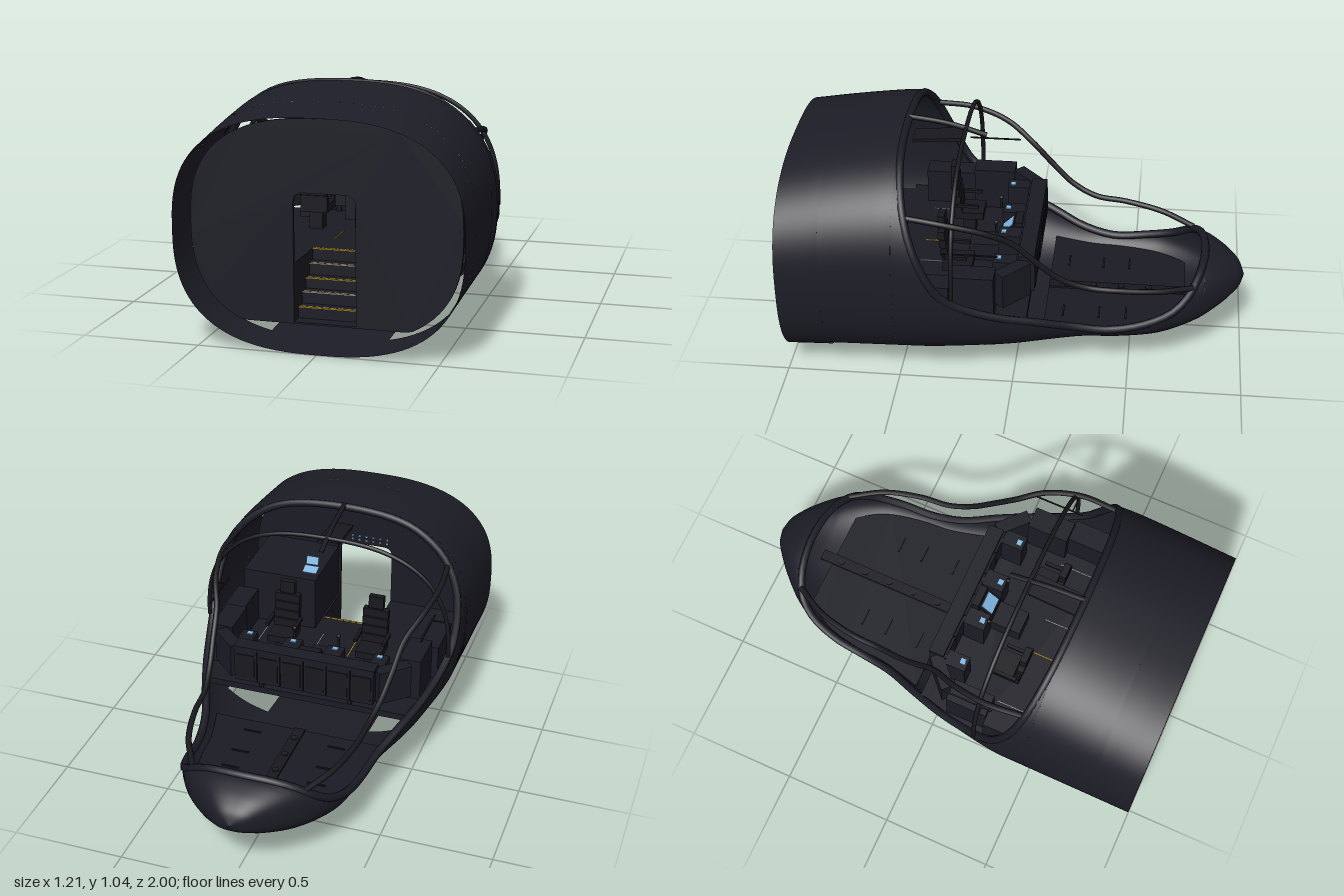
import * as THREE from 'three';

const mat = (name, color, side = THREE.FrontSide) => {
  const m = new THREE.MeshStandardMaterial({ color, side });
  m.name = name;
  return m;
};

// Smooth curve through [z, value] pairs
function curve(t) {
  const slope = i => {
    const a = t[Math.max(i - 1, 0)], b = t[Math.min(i + 1, t.length - 1)];
    return (b[1] - a[1]) / (b[0] - a[0]);
  };
  return z => {
    let i = 0;
    while (i < t.length - 2 && z > t[i + 1][0]) i++;
    const h = t[i + 1][0] - t[i][0], u = Math.min(1, Math.max(0, (z - t[i][0]) / h)), v = 1 - u;
    return v * v * ((1 + 2 * u) * t[i][1] + u * h * slope(i)) + u * u * ((3 - 2 * u) * t[i + 1][1] - v * h * slope(i + 1));
  };
}

// Hull profiles along z: half width, crown, keel, waist height, canopy sill
const width = curve([[-1, 0.002], [-0.98, 0.065], [-0.95, 0.11], [-0.9, 0.17], [-0.8, 0.265], [-0.7, 0.33], [-0.6, 0.37], [-0.4, 0.4], [-0.3, 0.41],
  [-0.2, 0.44], [0, 0.515], [0.2, 0.57], [0.3, 0.59], [0.4, 0.6], [1, 0.6]]);
const crown = curve([[-1, 0.302], [-0.98, 0.345], [-0.95, 0.375], [-0.9, 0.405], [-0.82, 0.43], [-0.6, 0.425], [-0.3, 0.44],
  [-0.1, 0.6], [0.05, 0.85], [0.25, 0.985], [0.5, 1.03], [0.6, 1.022], [0.8, 0.992], [1, 0.955]]);
const keel = curve([[-1, 0.298], [-0.98, 0.262], [-0.95, 0.238], [-0.9, 0.205], [-0.8, 0.16], [-0.6, 0.117], [-0.45, 0.102], [-0.35, 0.1],
  [-0.2, 0.085], [0, 0.06], [0.2, 0.037], [0.5, 0.017], [1, 0]]);
const waist = curve([[-1, 0.3], [-0.6, 0.28], [-0.3, 0.29], [0, 0.38], [0.25, 0.48], [0.5, 0.51], [1, 0.49]]);
const sill = curve([[-0.82, 0.43], [-0.8, 0.412], [-0.76, 0.36], [-0.7, 0.305], [-0.6, 0.26], [-0.4, 0.225], [-0.3, 0.237], [-0.1, 0.305],
  [0.1, 0.37], [0.2, 0.415], [0.28, 0.46], [0.33, 0.53], [0.38, 0.62], [0.42, 0.73], [0.46, 0.86], [0.48, 0.94], [0.49, 0.985], [0.5, 1.03]]);

const N = 2.62; // roundness of the superellipse section
const pow = (v, p) => Math.sign(v) * Math.abs(v) ** p;
function hullPoint(z, a) {
  const s = Math.sin(a), c = waist(z), r = s > 0 ? crown(z) - c : c - keel(z);
  return new THREE.Vector3(width(z) * pow(Math.cos(a), 2 / N), c + r * pow(s, 2 / N), z);
}
function angleAtY(z, y) {
  const d = y - waist(z), r = d > 0 ? crown(z) - waist(z) : waist(z) - keel(z);
  return Math.asin(pow(Math.max(-1, Math.min(1, d / r)), N / 2));
}
const angleAtX = (z, x) => -Math.acos(Math.min(1, x / width(z)) ** (N / 2));
const halfAt = (z, y) => hullPoint(z, angleAtY(z, y)).x;

// Hull skin between two angles over a range of z
function strip(z0, z1, from, to, rows, cols, ease = t => t) {
  const pos = [], idx = [];
  for (let i = 0; i <= rows; i++) {
    const z = z0 + (z1 - z0) * ease(i / rows), a = from(z), b = to(z);
    for (let j = 0; j <= cols; j++) pos.push(...hullPoint(z, a + (b - a) * j / cols).toArray());
  }
  const w = cols + 1;
  for (let i = 0; i < rows; i++) for (let j = 0; j < cols; j++) {
    const k = i * w + j;
    idx.push(k, k + 1, k + w, k + 1, k + w + 1, k + w);
  }
  const g = new THREE.BufferGeometry();
  g.setAttribute('position', new THREE.Float32BufferAttribute(pos, 3));
  g.setIndex(idx);
  g.computeVertexNormals();
  return g;
}

export function createModel() {
  const root = new THREE.Group();
  const hullMat = mat('hull charcoal', 0x1d1d27, THREE.DoubleSide);
  const dark = mat('trim black', 0x18181e);
  const panel = mat('panel charcoal', 0x1b1b25);
  const blue = mat('screen blue', 0x84bae6);
  const yellow = mat('marking yellow', 0xa88c1c);
  const grey = mat('marking grey', 0x9a9aa2);

  const add = (name, geo, m, parent = root) => {
    const mesh = new THREE.Mesh(geo, m);
    mesh.name = name;
    parent.add(mesh);
    return mesh;
  };
  // Box given by its limits
  const box = (name, m, x0, x1, y0, y1, z0, z1, parent) => {
    const mesh = add(name, new THREE.BoxGeometry(x1 - x0, y1 - y0, z1 - z0), m, parent);
    mesh.position.set((x0 + x1) / 2, (y0 + y1) / 2, (z0 + z1) / 2);
    return mesh;
  };
  const both = fn => [-1, 1].forEach(fn);
  const pairBox = (name, m, x0, x1, ...rest) => both(s => box(name, m, Math.min(s * x0, s * x1), Math.max(s * x0, s * x1), ...rest));
  const tube = (name, pts, r, closed = false, m = dark) =>
    add(name, new THREE.TubeGeometry(new THREE.CatmullRomCurve3(pts, closed, 'centripetal'), 110, r, 8, closed), m);
  // Framed display, tilted back by an angle about x
  const display = (name, x, y, z, w, h, tilt) => {
    const g = new THREE.Group();
    g.name = name;
    box('displayFrame', dark, -w / 2 - 0.01, w / 2 + 0.01, -h / 2 - 0.008, h / 2 + 0.008, -0.01, 0, g);
    box('displayGlass', blue, -w / 2, w / 2, -h / 2, h / 2, 0, 0.003, g);
    g.position.set(x, y, z);
    g.rotation.x = tilt;
    root.add(g);
  };

  // Hull: tail ring, middle with two belly openings, open-top nose, closed tip
  const PI = Math.PI, low = () => -PI / 2, full = () => 1.5 * PI;
  const holeTop = z => angleAtY(z, 0.155), holeLow = z => angleAtX(z, 0.25), edge = z => angleAtY(z, sill(z));
  add('tailHull', strip(0.81, 1, low, full, 4, 96), hullMat);
  add('upperHull', strip(0.5, 0.81, holeTop, z => PI - holeTop(z), 8, 80), hullMat);
  add('bellyStrip', strip(0.13, 0.81, z => -PI - holeLow(z), holeLow, 12, 16), hullMat);
  const nearTop = t => 1 - (1 - t) ** 2;
  add('leftSide', strip(0.13, 0.5, holeTop, edge, 28, 24, nearTop), hullMat);
  add('rightSide', strip(0.13, 0.5, z => PI - edge(z), z => PI - holeTop(z), 28, 24, nearTop), hullMat);
  add('noseHull', strip(-0.82, 0.13, z => -PI - edge(z), edge, 50, 56, t => t ** 1.7), hullMat);
  add('noseTip', strip(-1, -0.82, low, full, 16, 72, t => t * t), hullMat);

  // Canopy sill tube along the opening
  const zs = [0.495, 0.485, 0.46, 0.42, 0.36, 0.3, 0.2, 0.05, -0.1, -0.25, -0.4, -0.55, -0.68, -0.75, -0.79, -0.81];
  const side = zs.map(z => new THREE.Vector3(halfAt(z, sill(z)) - 0.01, sill(z) - (z > 0.4 ? 0.008 : 0), z));
  const flip = side.map(p => new THREE.Vector3(-p.x, p.y, p.z)).reverse();
  tube('canopySill', [new THREE.Vector3(0, 1.02, 0.5), ...side, new THREE.Vector3(0, 0.43, -0.82), ...flip], 0.018, true, panel);

  // Canopy hoop, side rails and overhead parts
  tube('canopyHoop', Array.from({ length: 41 }, (_, i) => hullPoint(0.25, PI * i / 40)), 0.01);
  const rail = [[0.51, 0.83, 0.45], [0.52, 0.81, 0.28], [0.49, 0.76, 0.12], [0.44, 0.68, 0], [0.42, 0.58, -0.1], [0.4, 0.49, -0.2],
    [0.38, 0.44, -0.31], [0.37, 0.425, -0.45], [0.33, 0.405, -0.62], [0.25, 0.38, -0.77]];
  both(s => tube('canopyRail', rail.map(([x, y, z]) => new THREE.Vector3(s * x, y, z)), 0.013));
  tube('overheadRail', [[0, 1.03, 0.5], [0, 1.005, 0.33], [0, 0.955, 0.16]].map(p => new THREE.Vector3(...p)), 0.012);
  const overhead = box('overheadConsole', dark, -0.05, 0.05, 0.938, 0.952, 0.26, 0.48);
  overhead.rotation.x = 0.08;

  // Floors cut to the hull
  const floor = (name, y, t, z0, z1, m) => {
    const pts = [];
    for (let i = 0; i <= 16; i++) {
      const z = z0 + (z1 - z0) * i / 16;
      pts.push(new THREE.Vector2(0.98 * halfAt(z, y - t / 2), z));
    }
    const outline = [...pts, ...pts.map(p => new THREE.Vector2(-p.x, p.y)).reverse()];
    const g = new THREE.ExtrudeGeometry(new THREE.Shape(outline), { depth: t, bevelEnabled: false });
    add(name, g.rotateX(PI / 2), m).position.y = y;
  };
  floor('cockpitFloor', 0.335, 0.03, -0.06, 0.58, panel);
  floor('noseFloor', 0.185, 0.012, -0.74, -0.12, panel);
  box('noseWalkway', dark, -0.025, 0.025, 0.185, 0.194, -0.8, -0.12);
  for (const z of [-0.48, -0.36, -0.2]) pairBox('floorSlot', dark, 0.16, 0.24, 0.185, 0.191, z - 0.004, z + 0.004);
  for (let i = 0; i < 5; i++) add('walkwayStud', new THREE.CylinderGeometry(0.015, 0.015, 0.006, 16), panel).position.set(0, 0.196, -0.7 + i * 0.125);

  // Rear bulkhead with a flat foot and a rounded doorway
  const Z = 0.88, cy = waist(Z);
  const wall = new THREE.Shape(Array.from({ length: 96 }, (_, i) => hullPoint(Z, PI * (2 * i / 96 - 0.5)))
    .map(p => new THREE.Vector2(p.x * 0.945, Math.max(0.085, cy + (p.y - cy) * (p.y > cy ? 0.905 : 0.95)))));
  const door = new THREE.Path();
  door.moveTo(-0.13, 0.09).lineTo(-0.13, 0.585).quadraticCurveTo(-0.13, 0.63, -0.085, 0.63)
    .lineTo(0.085, 0.63).quadraticCurveTo(0.13, 0.63, 0.13, 0.585).lineTo(0.13, 0.09);
  wall.holes.push(door);
  add('bulkhead', new THREE.ExtrudeGeometry(wall, { depth: 0.015, bevelEnabled: false, curveSegments: 10 }), panel).position.z = Z - 0.015;
  for (let i = 0; i < 12; i++) {
    const x = -0.11 + (i % 6) * 0.035, y = 0.65 + Math.floor(i / 6) * 0.02;
    box('doorHeaderLight', blue, x, x + 0.009, y, y + 0.006, Z - 0.02, Z - 0.015);
  }

  // Entry stairs with side walls; yellow tread dashes and thin nosings
  box('stairBase', panel, -0.14, 0.14, 0.085, 0.092, 0.57, 0.88);
  [0.14, 0.19, 0.235, 0.285, 0.335].forEach((y, i) => {
    const z = 0.82 - i * 0.05;
    box('step', panel, -0.13, 0.13, 0.09, y, z - 0.05, z);
    box('stepNosing', i % 2 ? grey : yellow, -0.13, 0.13, y - 0.003, y + 0.001, z - 0.002, z + 0.002);
    for (let k = 0; k < 8; k++) box('treadDash', yellow, -0.124 + k * 0.032, -0.1 + k * 0.032, y, y + 0.001, z - 0.012, z - 0.003);
  });
  pairBox('stairWall', panel, 0.13, 0.145, 0.085, 0.335, 0.57, 0.865);
  pairBox('underfloorWall', panel, 0.13, 0.145, 0.157, 0.305, 0.38, 0.57);
  pairBox('rearFloor', panel, 0.132, 0.53, 0.305, 0.335, 0.57, 0.865);

  // Cabinet behind the left seat, with two displays on its top
  box('rearCabinet', panel, 0.14, 0.5, 0.335, 0.6, 0.5, 0.86);
  box('displayPost', dark, 0.168, 0.182, 0.6, 0.67, 0.57, 0.58);
  const topGlass = box('deskDisplay', blue, 0.14, 0.21, 0.635, 0.639, 0.51, 0.56);
  topGlass.rotation.x = -0.25;
  const rearGlass = box('uprightDisplay', blue, 0.145, 0.205, 0.65, 0.69, 0.562, 0.567);
  rearGlass.rotation.x = 0.3;

  // Dashboard raised above the floor, split into panels, with angled wings
  for (let i = 0; i < 6; i++) {
    const x = -0.33 + i * 0.11;
    box('dashPanel', panel, x + 0.002, x + 0.108, 0.37, 0.53, -0.08, 0);
    box('dashInset', dark, x + 0.012, x + 0.098, 0.39, 0.51, -0.085, -0.079);
  }
  box('dashTop', panel, -0.33, 0.33, 0.53, 0.548, -0.08, -0.01);
  both(s => {
    const wing = box('dashWing', panel, -0.08, 0.08, 0.37, 0.53, -0.03, 0.03);
    wing.position.set(s * 0.39, 0.45, 0.01);
    wing.rotation.y = -s * 0.75;
  });
  pairBox('dashLeg', dark, 0.2, 0.22, 0.335, 0.37, -0.055, -0.035);

  // Centre pedestal and side consoles
  box('pedestal', panel, -0.055, 0.055, 0.335, 0.455, 0, 0.1);
  box('pedestalFoot', panel, -0.055, 0.055, 0.335, 0.42, 0.1, 0.24);
  box('pedestalHood', dark, -0.05, 0.05, 0.455, 0.54, 0, 0.035);
  display('mainDisplay', 0, 0.5, 0.068, 0.076, 0.068, -0.8);
  for (let i = 0; i < 4; i++) box('pedestalKey', grey, -0.03 + i * 0.017, -0.024 + i * 0.017, 0.455, 0.458, 0.092, 0.097);
  pairBox('innerConsole', panel, 0.06, 0.14, 0.335, 0.525, 0, 0.1);
  pairBox('outerConsole', panel, 0.28, 0.35, 0.335, 0.525, 0, 0.1);
  pairBox('armConsole', panel, 0.4, 0.5, 0.335, 0.535, 0.08, 0.27);
  pairBox('wallConsole', panel, 0.43, 0.53, 0.335, 0.5, 0.27, 0.5);
  for (const x of [0.1, 0.31]) pairBox('smallScreen', blue, x - 0.013, x + 0.013, 0.525, 0.53, 0.065, 0.088);
  both(s => {
    const lever = add('controlLever', new THREE.CylinderGeometry(0.005, 0.006, 0.06, 8), dark);
    lever.position.set(s * 0.105, 0.55, 0.11);
    add('leverGrip', new THREE.SphereGeometry(0.01, 12, 8), dark).position.set(s * 0.105, 0.575, 0.11);
    box('leverMark', yellow, s * 0.105 - 0.003, s * 0.105 + 0.003, 0.573, 0.579, 0.118, 0.122);
    box('sideArm', dark, s * 0.5 - 0.003, s * 0.5 + 0.003, 0.652, 0.658, 0.06, 0.3);
  });
  pairBox('sideArmMount', dark, 0.5, 0.565, 0.652, 0.658, 0.247, 0.253);

  // Floor guide stripes
  pairBox('outerStripe', grey, 0.359, 0.363, 0.335, 0.338, 0.27, 0.46);
  box('innerStripe', yellow, -0.087, -0.082, 0.335, 0.338, 0.31, 0.46);
  box('innerStripe', grey, 0.081, 0.085, 0.335, 0.338, 0.31, 0.46);

  // Pilot seats
  both(s => {
    const seat = new THREE.Group();
    seat.name = 'seat';
    box('seatPost', dark, -0.03, 0.03, 0, 0.08, -0.03, 0.03, seat);
    box('seatCushion', dark, -0.06, 0.06, 0.08, 0.115, -0.07, 0.06, seat);
    for (let i = 0; i < 4; i++) box('seatBack', dark, -0.06, 0.06, 0.115 + i * 0.042, 0.154 + i * 0.042, 0.03 + i * 0.006, 0.06 + i * 0.006, seat);
    box('headrest', dark, -0.035, 0.035, 0.285, 0.345, 0.05, 0.08, seat);
    pairBox('armrest', dark, 0.06, 0.075, 0.15, 0.165, -0.05, 0.05, seat);
    seat.position.set(s * 0.215, 0.335, 0.27);
    root.add(seat);
  });
  return root;
}
